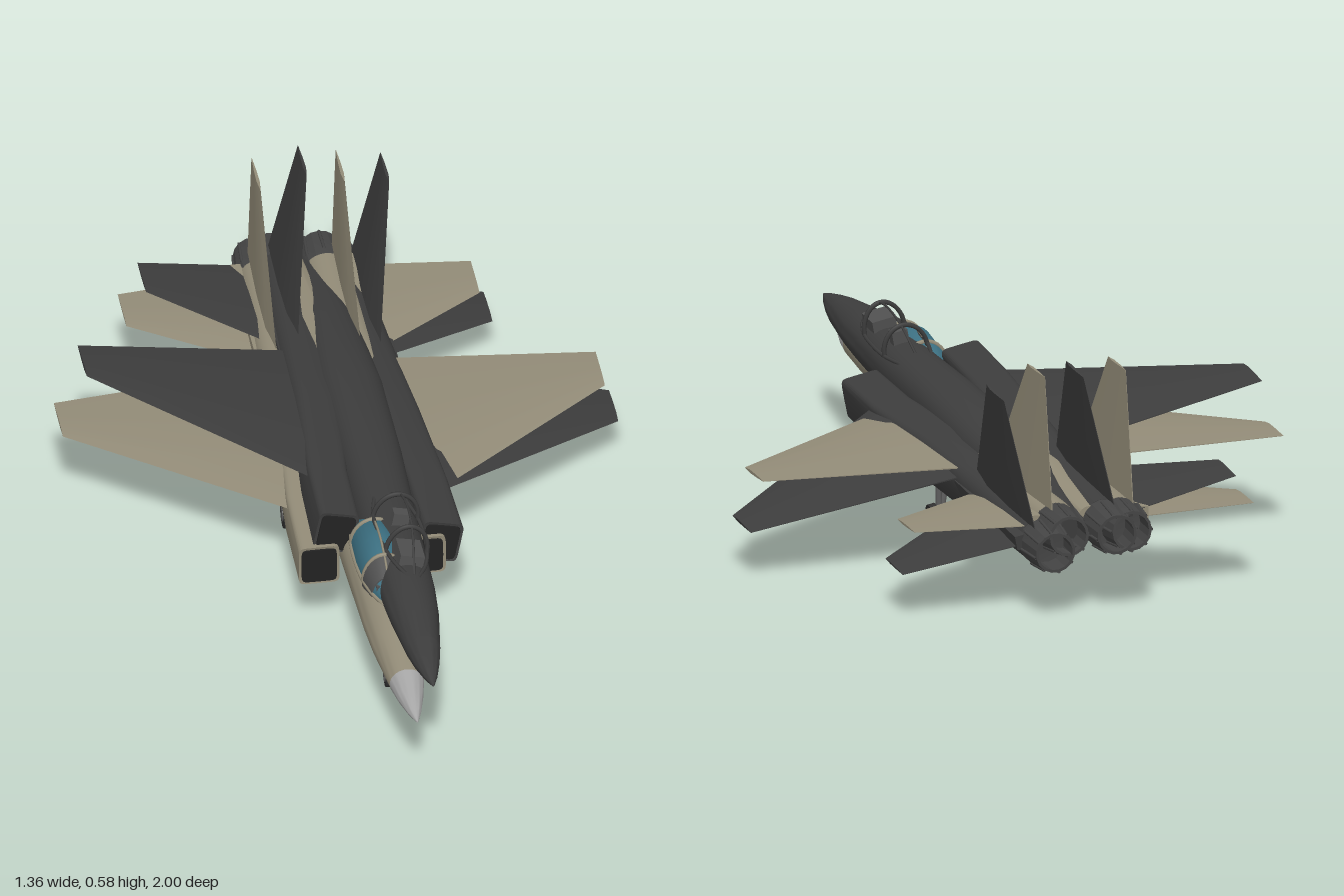
import * as THREE from 'three';
import { toCreasedNormals } from 'three/addons/utils/BufferGeometryUtils.js';

const mat = (name, color, side = THREE.FrontSide) => {
  const m = new THREE.MeshStandardMaterial({ color, side });
  m.name = name;
  return m;
};
const V = (x, y, z) => new THREE.Vector3(x, y, z);

// Closed surface through rings of equal point count, capped at both ends
function skin(rings, flip = false, crease = 0.6) {
  const n = rings[0].length, pos = [], idx = [];
  rings.forEach((r) => r.forEach((p) => pos.push(p.x, p.y, p.z)));
  const tri = (a, b, c) => (flip ? idx.push(a, c, b) : idx.push(a, b, c));
  for (let i = 0; i < rings.length - 1; i++) {
    for (let j = 0; j < n; j++) {
      const k = (j + 1) % n, a = i * n + j, b = i * n + k;
      tri(a, a + n, b);
      tri(b, a + n, b + n);
    }
  }
  const last = (rings.length - 1) * n;
  for (let j = 1; j < n - 1; j++) {
    tri(0, j, j + 1);
    tri(last, last + j + 1, last + j);
  }
  const g = new THREE.BufferGeometry();
  g.setAttribute('position', new THREE.Float32BufferAttribute(pos, 3));
  g.setIndex(idx);
  return toCreasedNormals(g, crease);
}

// Superellipse sections: [z, centre x, centre y, half width, half height, power]
function loft(sections) {
  return skin(sections.map(([z, cx, cy, hw, hh, p = 2]) =>
    Array.from({ length: 28 }, (_, j) => {
      const a = (j / 28) * Math.PI * 2, c = Math.cos(a), s = Math.sin(a);
      return V(cx + hw * Math.sign(c) * Math.abs(c) ** (2 / p),
        cy + hh * Math.sign(s) * Math.abs(s) ** (2 / p), z);
    })));
}

// Thin aerofoil: stations [x, y, leading z, trailing z, half thickness], thick along dir
function foil(stations, dir, flip) {
  const profile = [[0, 0], [0.25, 1], [0.6, 0.8], [1, 0.1], [1, -0.1], [0.6, -0.8], [0.25, -1]];
  return skin(stations.map(([x, y, le, te, t]) =>
    profile.map(([u, w]) => V(x, y, le + (te - le) * u).addScaledVector(dir, w * t))), flip);
}

const steel = mat('strut grey', 0x5c5c5c);
const tyre = mat('tyre black', 0x303030);
const nozzleMat = mat('nozzle grey', 0x444444, THREE.DoubleSide);
const dark = mat('charcoal', 0x3d3d3d);
const tan = mat('desert tan', 0x938c78);
const radome = mat('radome grey', 0xa6a6a6);
const glass = mat('canopy teal', 0x3c7082);
const frameMat = mat('frame grey', 0x505050);
const duct = mat('duct black', 0x222222);

function makeJet(name, paint, noseMat, glazed) {
  const jet = new THREE.Group();
  jet.name = name;
  const add = (label, geometry, material) => {
    const m = new THREE.Mesh(geometry, material);
    m.name = label;
    jet.add(m);
    return m;
  };
  const rod = (label, a, b, r, material) =>
    add(label, new THREE.TubeGeometry(new THREE.LineCurve3(a, b), 1, r, 8), material);

  // Nose and fuselage
  const base = [0.84, 0, -0.027, 0.042, 0.04];
  add('noseCone', loft([[1, 0, -0.03, 0.002, 0.002], [0.96, 0, -0.03, 0.016, 0.015],
    [0.9, 0, -0.029, 0.031, 0.029], base]), noseMat);
  add('fuselage', loft([base, [0.7, 0, -0.02, 0.06, 0.055], [0.6, 0, -0.018, 0.067, 0.063],
    [0.3, 0, -0.025, 0.073, 0.075, 2.3], [0, 0, -0.02, 0.08, 0.08, 2.6],
    [-0.3, 0, -0.018, 0.085, 0.078, 2.6], [-0.6, 0, -0.022, 0.07, 0.068, 2.5],
    [-0.9, 0, -0.02, 0.03, 0.03]]), paint);

  // Cockpit and canopy
  const seat = add('seat', new THREE.BoxGeometry(0.04, 0.05, 0.03), frameMat);
  seat.position.set(0, 0.055, 0.38);
  const dash = add('dashboard', new THREE.BoxGeometry(0.06, 0.04, 0.08), frameMat);
  dash.position.set(0, 0.05, 0.53);
  const dome = [[0.615, 0, 0.035, 0.012, 0.012], [0.56, 0, 0.038, 0.038, 0.047],
    [0.5, 0, 0.038, 0.052, 0.074], [0.43, 0, 0.038, 0.058, 0.083],
    [0.34, 0, 0.036, 0.056, 0.068], [0.26, 0, 0.035, 0.04, 0.022]];
  if (glazed) {
    add('canopyGlass', loft(dome), glass);
    add('windshieldBand', loft([[0.56, 0, 0.038, 0.041, 0.05], [0.5, 0, 0.038, 0.055, 0.077]]), frameMat);
  }
  const trim = glazed ? paint : dark;
  const curve = (label, pts, r) =>
    add(label, new THREE.TubeGeometry(new THREE.CatmullRomCurve3(pts), 24, r, 6), trim);
  curve('canopySpine', dome.map(([z, , y, , h]) => V(0, y + h, z)), 0.003);
  for (const s of [1, -1]) curve('canopySill', dome.map(([z, , y, w]) => V(s * w, y + 0.004, z)), 0.005);
  for (const [z, , y, w, h] of [dome[2], dome[4]]) {
    curve('canopyBow', Array.from({ length: 9 }, (_, i) =>
      V(w * Math.cos(i * Math.PI / 8), y + h * Math.sin(i * Math.PI / 8), z)), 0.006);
  }

  // Nose gear
  const wheel = (label, x, y, z, r, w) => {
    const t = add(label, new THREE.CylinderGeometry(r, r, w, 20), tyre);
    t.rotation.z = Math.PI / 2;
    t.position.set(x, y, z);
    const hub = add(label + 'Hub', new THREE.CylinderGeometry(r * 0.5, r * 0.5, w + 0.004, 14), steel);
    hub.rotation.z = Math.PI / 2;
    hub.position.copy(t.position);
  };
  wheel('noseWheel', 0, -0.215, 0.55, 0.025, 0.014);
  rod('noseStrut', V(0, -0.06, 0.555), V(0, -0.19, 0.55), 0.007, steel);
  rod('noseFork', V(0.011, -0.17, 0.55), V(0.011, -0.22, 0.55), 0.004, steel);
  rod('noseBrace', V(0, -0.08, 0.52), V(0, -0.15, 0.55), 0.004, steel);

  for (const s of [1, -1]) {
    // Intake, engine nacelle and exhaust
    add('nacelle', loft([[0.318, s * 0.13, -0.032, 0.043, 0.046, 8], [0.32, s * 0.13, -0.032, 0.05, 0.053, 8],
      [0.1, s * 0.125, -0.035, 0.052, 0.058, 6], [-0.2, s * 0.1, -0.03, 0.06, 0.065, 4],
      [-0.55, s * 0.085, -0.035, 0.062, 0.063, 2.6], [-0.88, s * 0.08, -0.038, 0.057, 0.058]]), paint);
    add('intakeOpening', loft([[0.323, s * 0.13, -0.032, 0.043, 0.046, 8],
      [0.3, s * 0.13, -0.032, 0.043, 0.046, 8]]), duct);
    const nozzle = add('exhaustNozzle', toCreasedNormals(new THREE.LatheGeometry(
      [[0.057, 0], [0.059, 0.03], [0.05, 0.115], [0.043, 0.115], [0.046, 0.04], [0.001, 0.035]]
        .map(([r, y]) => new THREE.Vector2(r, y)), 16), 0.3), nozzleMat);
    nozzle.rotation.x = -Math.PI / 2;
    nozzle.position.set(s * 0.08, -0.038, -0.87);
    for (let i = 0; i < 8; i++) {
      const a = (i / 8) * Math.PI * 2, c = Math.cos(a), d = Math.sin(a);
      rod('nozzlePetalRib', V(s * 0.08 + 0.059 * c, -0.038 + 0.059 * d, -0.9),
        V(s * 0.08 + 0.05 * c, -0.038 + 0.05 * d, -0.983), 0.004, nozzleMat);
    }
    const boom = add('tailBoom', new THREE.BoxGeometry(0.06, 0.035, 0.46), paint);
    boom.position.set(s * 0.12, -0.02, -0.67);

    // Wing, tailplane and fin
    const up = V(0, 1, 0);
    add('wing', foil([[s * 0.08, 0.004, 0.19, -0.455, 0.018], [s * 0.17, 0.004, 0.13, -0.447, 0.015],
      [s * 0.663, 0, -0.26, -0.4, 0.004]], up, s < 0), paint);
    add('tailplane', foil([[s * 0.1, -0.03, -0.5, -0.895, 0.01],
      [s * 0.432, -0.03, -0.727, -0.86, 0.003]], up, s < 0), paint);
    add('fin', foil([[s * 0.103, 0, -0.47, -0.925, 0.011],
      [s * 0.103, 0.333, -0.735, -0.868, 0.004]], V(-1, 0, 0), false), paint);

    // Main gear
    wheel('mainWheel', s * 0.137, -0.205, -0.14, 0.035, 0.018);
    rod('mainStrut', V(s * 0.1, -0.08, -0.13), V(s * 0.124, -0.2, -0.14), 0.008, steel);
    rod('mainAxle', V(s * 0.12, -0.205, -0.14), V(s * 0.145, -0.205, -0.14), 0.007, steel);
  }
  return jet;
}

export function createModel() {
  const model = new THREE.Group();
  model.name = 'pairOfJets';

  // Level jet standing on its gear
  const level = makeJet('levelJet', tan, radome, true);
  level.position.set(-0.018, 0.24, 0);

  // Banked jet, nose raised, overlapping the first
  const banked = makeJet('bankedJet', dark, dark, false);
  banked.position.set(0.03, 0.275, -0.015);
  banked.rotation.set(-0.056, 0, -0.207);

  model.add(level, banked);
  return model;
}
